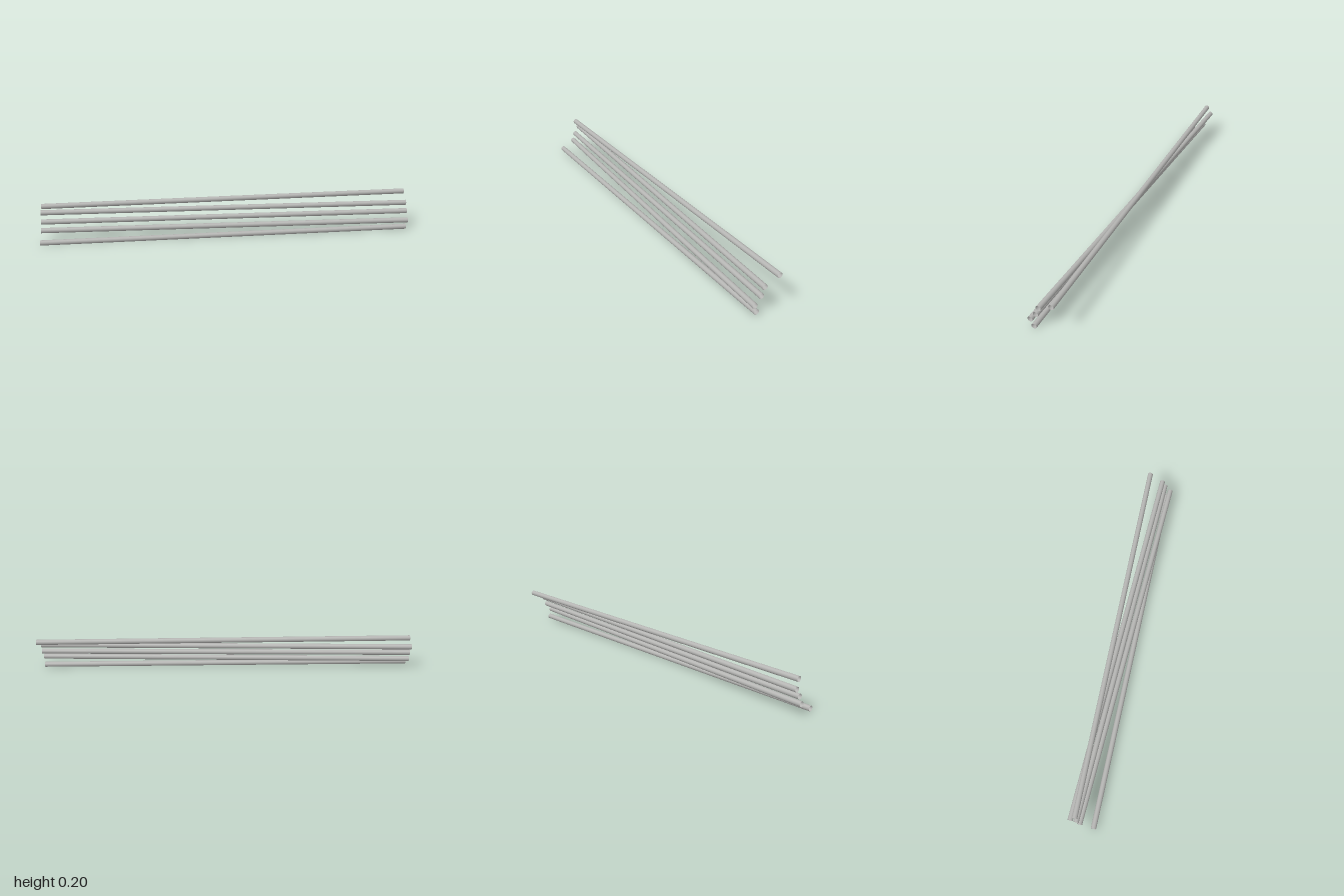
import * as THREE from 'three';

const RADIUS = 0.014;
const SPACING = 0.0427;

// Each rod, bottom to top: x and z of its left (-x) end, x and z of its right (+x) end
const RODS = [
  [-1.0, 0.035, 0.985, 0.064],
  [-0.997, -0.036, 0.989, 0.079],
  [-0.995, -0.052, 0.991, 0.046],
  [-0.996, -0.079, 0.99, 0.029],
  [-0.988, -0.056, 1.0, -0.045],
];

export function createModel() {
  const model = new THREE.Group();
  model.name = 'stackedRods';
  const metal = new THREE.MeshStandardMaterial({ color: 0xb4b4b2, side: THREE.DoubleSide });
  metal.name = 'paleGreyMetal';

  // Hollow, open-ended tubes, each turned slightly about the vertical
  RODS.forEach(([x0, z0, x1, z1], i) => {
    const y = RADIUS + i * SPACING;
    const start = new THREE.Vector3(x0, y, z0);
    const end = new THREE.Vector3(x1, y, z1);
    const geometry = new THREE.CylinderGeometry(RADIUS, RADIUS, start.distanceTo(end), 16, 1, true);
    geometry.rotateZ(-Math.PI / 2);
    const rod = new THREE.Mesh(geometry, metal);
    rod.name = `rod${i + 1}`;
    rod.position.copy(start).add(end).multiplyScalar(0.5);
    rod.rotation.y = -Math.atan2(z1 - z0, x1 - x0);
    model.add(rod);
  });
  return model;
}
